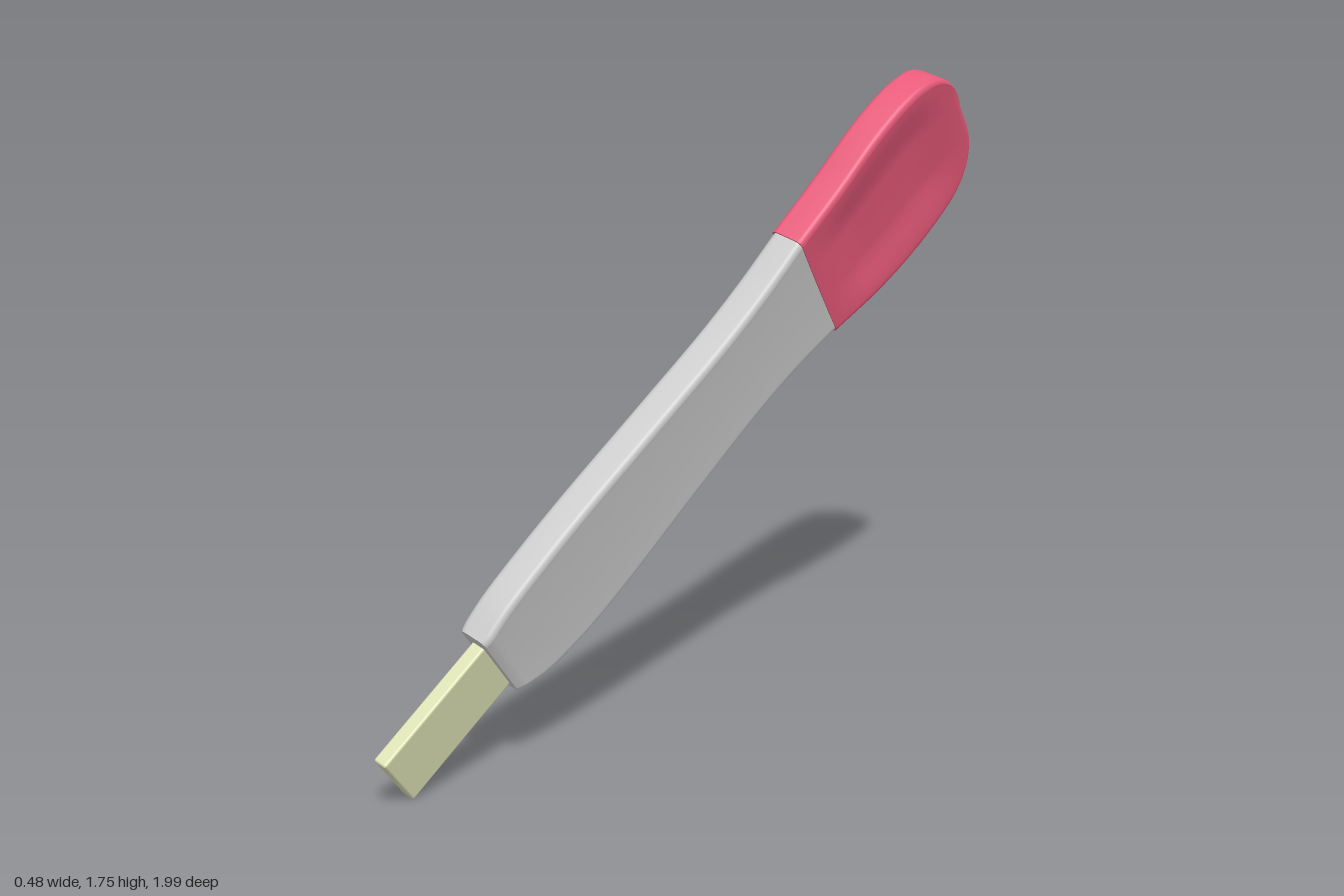
import * as THREE from 'three';
import { RoundedBoxGeometry } from 'three/addons/geometries/RoundedBoxGeometry.js';

const smooth = THREE.MathUtils.smoothstep;

// Rounded-rectangle section from y = lo to hi, half thickness h; relief(side, y) sinks the faces
function section(lo, hi, h, relief) {
  const pts = [], r = Math.min(0.022, h * 0.6, (hi - lo) * 0.3), arc = 5, face = 64;
  for (const side of [1, -1]) {
    const along = (k) => (side > 0 ? lo + r + (hi - lo - 2 * r) * k : hi - r - (hi - lo - 2 * r) * k);
    const corner = (cy, from) => {
      for (let i = 0; i < arc; i++) {
        const a = from + (i / arc) * Math.PI / 2;
        pts.push([side * (h - r) + r * Math.cos(a), cy + r * Math.sin(a)]);
      }
    };
    corner(along(0), side > 0 ? -Math.PI / 2 : Math.PI / 2);
    for (let i = 0; i <= face; i++) {
      const y = along(i / face);
      pts.push([side * (h - relief(side, y, (2 * y - lo - hi) / (hi - lo))), y]);
    }
    corner(along(1), side > 0 ? 0 : Math.PI);
  }
  return pts;
}

// Skin over a list of rings running towards -z, closed by flat caps with sharp rims
function loft(rings) {
  const pos = [], idx = [], n = rings[0].pts.length;
  const addRing = ({ t, pts }) => pts.forEach(([x, y]) => pos.push(x, y, -t));
  rings.forEach(addRing);
  for (let i = 0; i < rings.length - 1; i++) {
    for (let j = 0; j < n; j++) {
      const a = i * n + j, b = i * n + (j + 1) % n;
      idx.push(a, a + n, b, b, a + n, b + n);
    }
  }
  [rings[0], rings[rings.length - 1]].forEach((ring, end) => {
    const start = pos.length / 3;
    addRing(ring);
    const ys = ring.pts.map((p) => p[1]);
    pos.push(0, (Math.min(...ys) + Math.max(...ys)) / 2, -ring.t);
    for (let j = 0; j < n; j++) {
      const a = start + j, b = start + (j + 1) % n;
      idx.push(start + n, end ? b : a, end ? a : b);
    }
  });
  const geo = new THREE.BufferGeometry();
  geo.setAttribute('position', new THREE.Float32BufferAttribute(pos, 3));
  geo.setIndex(idx);
  geo.computeVertexNormals();
  return geo;
}

// Outline rows are [distance along the handle, lower edge, upper edge]
function outline(rows, steps) {
  return new THREE.CatmullRomCurve3(rows.map((r) => new THREE.Vector3(...r))).getPoints(steps);
}

export function createModel() {
  const model = new THREE.Group();
  model.name = 'scraper';
  const add = (name, geo, color) => {
    const mesh = new THREE.Mesh(geo, new THREE.MeshStandardMaterial({ color }));
    mesh.name = name;
    model.add(mesh);
    return mesh;
  };

  // Handle body with an oval thumb recess on one face
  const body = outline([
    [-0.28, 0.545, 0.8], [-0.18, 0.5, 0.822], [-0.03, 0.477, 0.834], [0.15, 0.477, 0.84],
    [0.47, 0.496, 0.838], [0.75, 0.507, 0.838], [0.92, 0.5, 0.85], [1.085, 0.478, 0.872],
  ], 150);
  add('handleBody', loft(body.map(({ x: t, y: lo, z: hi }) => {
    const h = 0.042 + 0.009 * Math.sqrt(smooth(t, -0.29, -0.25));
    const relief = (side, y, q) => {
      const e = ((t - 0.74) / 0.185) ** 2 + ((y - 0.66) / 0.098) ** 2;
      return 0.003 * (1 - q * q) + (side < 0 && e < 1 ? 0.028 * (1 - e) : 0);
    };
    return { t, pts: section(lo, hi, h, relief) };
  })), 0xcccccc);

  // Rounded grip end with dished faces
  const tip = 1.79;
  const grip = outline([
    [1.085, 0.474, 0.876], [1.28, 0.435, 0.894], [1.45, 0.423, 0.917], [1.58, 0.431, 0.919],
    [1.66, 0.448, 0.906], [1.72, 0.484, 0.88], [1.76, 0.54, 0.835], [1.783, 0.61, 0.77], [tip, 0.675, 0.705],
  ], 110);
  add('gripEnd', loft(grip.map(({ x: t, y: lo, z: hi }) => {
    const k = 1 - Math.min(1, (tip - t) / 0.03);
    const h = 0.028 + 0.026 * Math.sqrt(Math.max(0, 1 - k * k));
    const fade = smooth(t, 1.085, 1.3) * (1 - smooth(t, 1.55, 1.76));
    const relief = (side, y, q) => 0.018 * fade * (1 - smooth(Math.abs(q), 0.3, 0.92)) + 0.003 * (1 - q * q);
    return { t, pts: section(lo, hi, h, relief) };
  })), 0xe85a7a);

  // Flat blade
  const blade = add('blade', new RoundedBoxGeometry(0.044, 0.186, 0.467, 2, 0.007), 0xdde2b4);
  blade.position.set(0, 0.662, 0.4335);

  // Lean the whole tool back and to one side
  model.rotation.set(0.707, 0, -0.23, 'ZXY');
  model.position.x = -0.214;
  const root = new THREE.Group();
  root.add(model);
  return root;
}
